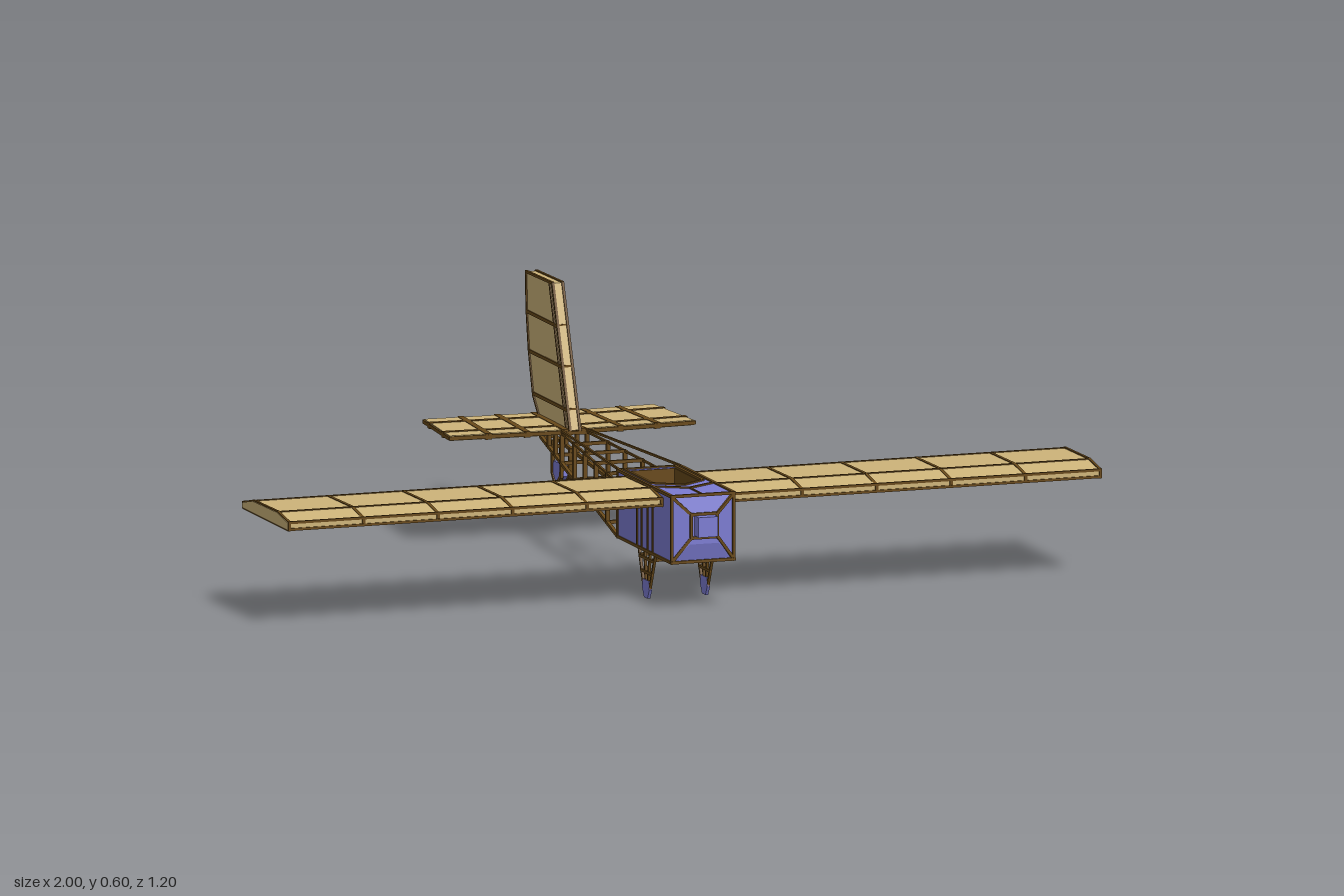
import * as THREE from 'three';

const mat = (color) => new THREE.MeshStandardMaterial({ color, flatShading: true, side: THREE.DoubleSide });
const blue = mat(0x7c7cd2), tan = mat(0xceb47a), brown = mat(0x68491a);
const V = (x, y, z) => new THREE.Vector3(x, y, z);

export function createModel() {
  const model = new THREE.Group();
  const part = (name) => {
    const g = new THREE.Group();
    g.name = name;
    model.add(g);
    return g;
  };
  const add = (parent, name, geo, material) => {
    const m = new THREE.Mesh(geo, material);
    m.name = name;
    parent.add(m);
    return m;
  };
  const shape = (pts) => new THREE.Shape(pts.map((p) => new THREE.Vector2(...p)));
  const extrude = (s, depth) => new THREE.ExtrudeGeometry(s, { depth, bevelEnabled: false });
  // side outline of [z, y] points, spanning x0..x1
  const acrossX = (pts, x0, x1) => extrude(shape(pts), x1 - x0).rotateY(-Math.PI / 2).translate(x1, 0, 0);
  // plan outline of [x, z] points, spanning y0..y1
  const upY = (s, y0, y1) => extrude(s, y1 - y0).rotateX(Math.PI / 2).translate(0, y1, 0);
  const box = (x0, x1, y0, y1, z0, z1) => new THREE.BoxGeometry(x1 - x0, y1 - y0, z1 - z0)
    .translate((x0 + x1) / 2, (y0 + y1) / 2, (z0 + z1) / 2);
  // square stick between two points
  const stick = (parent, name, a, b, t = 0.007) => {
    const m = add(parent, name, new THREE.BoxGeometry(t, t, a.distanceTo(b) + t * 0.5), brown);
    m.position.copy(a).add(b).multiplyScalar(0.5);
    m.lookAt(b);
  };

  // Cabin: hollow body with an arrow-fronted opening
  const cabin = part('cabin');
  const opening = (w, z0, zs, zc) => [[-w, z0], [w, z0], [w, zs], [0, zc], [-w, zs]];
  const body = shape([[-0.077, 0.198], [0.077, 0.198], [0.077, 0.56], [-0.077, 0.56]]);
  body.holes.push(shape(opening(0.062, 0.208, 0.392, 0.435)));
  add(cabin, 'cabinBody', upY(body, 0.112, 0.268), blue);
  const liner = shape(opening(0.062, 0.208, 0.392, 0.435));
  liner.holes.push(shape(opening(0.058, 0.212, 0.39, 0.431)));
  add(cabin, 'cabinLiner', upY(liner, 0.12, 0.266), brown);
  add(cabin, 'cabinFloor', upY(shape(opening(0.062, 0.205, 0.392, 0.435)), 0.11, 0.125), brown);

  // Nose: shallow pyramid plate, block and trim
  const nose = part('nose');
  const plate = new THREE.CylinderGeometry(0.035 * Math.SQRT2, 0.077 * Math.SQRT2, 0.012, 4)
    .rotateY(Math.PI / 4).rotateX(Math.PI / 2).translate(0, 0.19, 0.566);
  add(nose, 'nosePlate', plate, blue);
  add(nose, 'noseBlock', box(-0.024, 0.024, 0.175, 0.222, 0.56, 0.6), blue);
  for (const s of [-1, 1]) {
    for (const [y0, y1] of [[0.113, 0.17], [0.267, 0.225]]) {
      stick(nose, 'noseTrim', V(s * 0.076, y0, 0.561), V(s * 0.032, y1, 0.572));
    }
    stick(nose, 'noseFrame', V(s * 0.032, 0.17, 0.572), V(s * 0.032, 0.225, 0.572));
  }
  for (const y of [0.17, 0.225]) stick(nose, 'noseFrame', V(-0.032, y, 0.572), V(0.032, y, 0.572));
  stick(nose, 'deckSeam', V(0, 0.268, 0.475), V(0, 0.268, 0.56), 0.005);

  // Cabin edge sticks
  const frame = part('cabinFrame');
  for (const s of [-1, 1]) {
    const x = s * 0.076;
    for (const y of [0.113, 0.268]) stick(frame, 'cabinRail', V(x, y, 0.198), V(x, y, 0.565));
    for (const z of [0.2, 0.562]) stick(frame, 'cabinPost', V(x, 0.112, z), V(x, 0.268, z));
    for (const z of [0.437, 0.403, 0.365, 0.332]) stick(frame, 'sideStrut', V(x, 0.113, z), V(x, 0.235, z));
    stick(frame, 'sideRail', V(x, 0.23, 0.33), V(x, 0.23, 0.44));
    stick(frame, 'deckChevron', V(x, 0.268, 0.43), V(0, 0.268, 0.475));
    stick(frame, 'openingTrim', V(s * 0.062, 0.268, 0.392), V(0, 0.268, 0.435));
    stick(frame, 'openingTrim', V(s * 0.062, 0.268, 0.206), V(s * 0.062, 0.268, 0.392));
  }
  for (const [y, z] of [[0.113, 0.2], [0.268, 0.2], [0.113, 0.562], [0.268, 0.562], [0.113, 0.44], [0.113, 0.33]]) {
    stick(frame, 'crossBar', V(-0.076, y, z), V(0.076, y, z));
  }

  // Wings: covered section with ribs and spars
  const section = [[0.2, 0.238], [0.508, 0.238], [0.508, 0.255], [0.432, 0.267], [0.27, 0.265], [0.2, 0.25]];
  const ribSection = section.map(([z, y]) => [0.355 + (z - 0.355) * 1.01, 0.252 + (y - 0.252) * 1.13]);
  for (const s of [-1, 1]) {
    const wing = part(s > 0 ? 'leftWing' : 'rightWing');
    add(wing, 'wingSkin', acrossX(section, s > 0 ? 0.077 : -0.998, s > 0 ? 0.998 : -0.077), tan);
    for (let i = 0; i < 6; i++) {
      const x = s * (0.081 + i * 0.1825);
      // the tip keeps its cover, framed by sticks
      if (i < 5) add(wing, 'wingRib', acrossX(ribSection, x - 0.004, x + 0.004), brown);
      else section.forEach(([z, y], k) => {
        const [z2, y2] = section[(k + 1) % section.length];
        stick(wing, 'tipFrame', V(x, y, z), V(x, y2, z2), 0.006);
      });
    }
    for (const [z, y] of [[0.508, 0.239], [0.508, 0.255], [0.432, 0.266], [0.432, 0.239],
      [0.27, 0.264], [0.27, 0.239], [0.2, 0.25], [0.2, 0.239]]) {
      stick(wing, 'wingSpar', V(s * 0.08, y, z), V(s * 0.995, y, z), 0.006);
    }
  }

  // Open tail boom: longerons, uprights and cross bars
  const boom = part('tailBoom');
  const stations = [0.2, 0.1, -0.003, -0.1, -0.192, -0.305, -0.36, -0.42, -0.488];
  const halfWidth = (z) => 0.015 + 0.06 * (z + 0.49) / 0.69;
  const low = (z) => 0.112 + (0.2 - z) * 0.163;
  const mid = (z) => (z > 0 ? 0.248 - z * 0.06 : Math.min(0.264, 0.248 - z * 0.055));
  const rails = [low, mid, () => 0.27];
  stations.forEach((z, i) => {
    const w = halfWidth(z), next = stations[i + 1];
    for (const s of [-1, 1]) {
      stick(boom, 'upright', V(s * w, low(z), z), V(s * w, mid(z), z), 0.009);
      if (next === undefined) continue;
      for (const r of rails) {
        stick(boom, 'longeron', V(s * w, r(z), z), V(s * halfWidth(next), r(next), next), r === low ? 0.008 : 0.005);
      }
    }
    stick(boom, 'crossBar', V(-w, low(z), z), V(w, low(z), z), 0.008);
    stick(boom, 'crossBar', V(-w, mid(z), z), V(w, mid(z), z), 0.008);
  });

  // Tailplane halves
  for (const s of [-1, 1]) {
    const tail = part(s > 0 ? 'leftTailplane' : 'rightTailplane');
    const front = (t) => V(s * (0.022 + 0.277 * t), 0.266, -0.307 - 0.016 * t);
    const back = (t) => V(s * (0.017 + 0.264 * t), 0.266, -0.533 - 0.013 * t);
    const plan = [front(0), front(1), back(1), back(0)].map((p) => [p.x, p.z]);
    add(tail, 'tailplaneSkin', upY(shape(plan), 0.26, 0.272), tan);
    for (let i = 0; i <= 3; i++) stick(tail, 'tailplaneRib', front(i / 3), back(i / 3), i === 3 ? 0.008 : 0.0145);
    for (const k of [0, 0.23, 0.77, 1]) {
      const at = (t) => front(t).lerp(back(t), k);
      stick(tail, 'tailplaneSpar', at(0), at(1), k % 1 ? 0.0145 : 0.009);
    }
  }

  // Fin
  const fin = part('fin');
  const outline = [[-0.302, 0.27], [-0.419, 0.595], [-0.597, 0.592], [-0.592, 0.5], [-0.577, 0.41],
    [-0.548, 0.31], [-0.505, 0.265]];
  add(fin, 'finSkin', acrossX(outline, -0.012, 0.012), tan);
  for (const s of [-1, 1]) {
    const x = s * 0.012;
    outline.forEach(([z, y], i) => {
      const [z2, y2] = outline[(i + 1) % outline.length];
      stick(fin, 'finEdge', V(x, y, z), V(x, y2, z2), 0.006);
    });
    stick(fin, 'finSpar', V(x, 0.27, -0.324), V(x, 0.594, -0.438), 0.006);
  }
  for (const [y, zf, zb] of [[0.315, -0.318, -0.55], [0.41, -0.352, -0.577], [0.5, -0.385, -0.592]]) {
    add(fin, 'finRib', box(-0.0145, 0.0145, y - 0.004, y + 0.004, zb, zf), brown);
  }

  // Main landing legs: tapering ladders ending in a skid foot
  const gear = part('landingGear');
  const legTops = [0.44, 0.403, 0.367, 0.327], legFeet = [0.4, 0.388, 0.377, 0.362];
  for (const s of [-1, 1]) {
    const x = s * 0.071;
    legTops.forEach((z, i) => stick(gear, 'legStick', V(x, 0.112, z), V(x, 0.022, legFeet[i]), 0.006));
    for (const [y, h] of [[0.092, 0.05], [0.06, 0.037], [0.024, 0.022]]) {
      stick(gear, 'legRung', V(x, y, 0.382 - h), V(x, y, 0.382 + h), 0.006);
    }
    const foot = [[0.362, 0.042], [0.357, 0.022], [0.37, 0], [0.393, 0], [0.406, 0.022], [0.401, 0.042]];
    add(gear, 'foot', acrossX(foot, x - 0.0035, x + 0.0035), blue);
  }
  for (const z of [0.34, 0.424]) stick(gear, 'axleBar', V(-0.071, 0.095, z), V(0.071, 0.095, z), 0.007);

  // Tail skid
  const skid = part('tailSkid');
  const hoop = [[-0.36, 0.215], [-0.367, 0.15], [-0.39, 0.131], [-0.408, 0.131], [-0.424, 0.15], [-0.424, 0.225]];
  for (let i = 0; i < hoop.length - 1; i++) {
    const [a, b] = [hoop[i], hoop[i + 1]];
    for (const x of [-0.01, 0.01]) stick(skid, 'skidHoop', V(x, a[1], a[0]), V(x, b[1], b[0]), 0.008);
  }
  add(skid, 'skidPlate', acrossX([[-0.372, 0.18], [-0.37, 0.15], [-0.39, 0.13], [-0.408, 0.13], [-0.422, 0.15],
    [-0.418, 0.18]], -0.011, 0.011), blue);

  return model;
}
